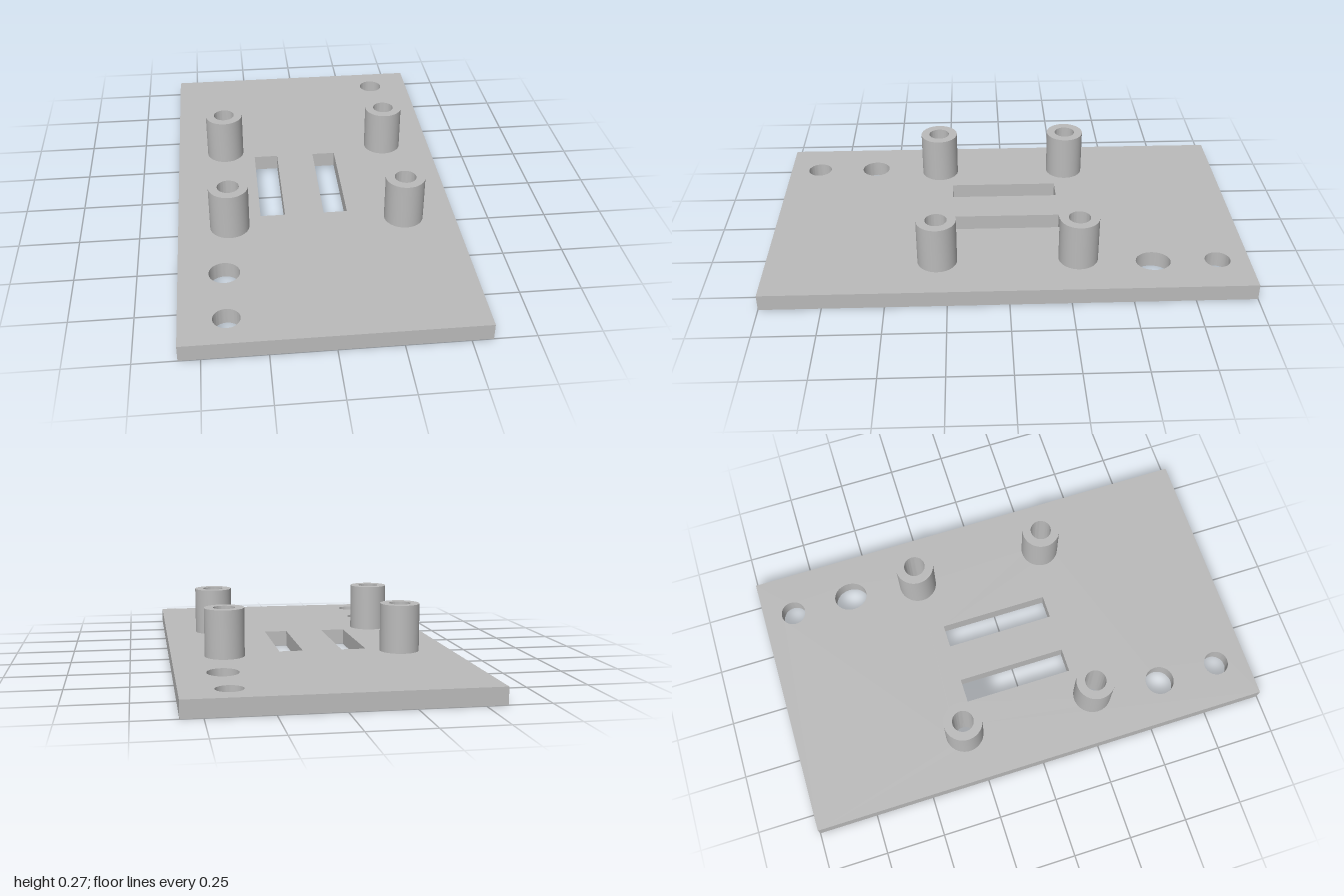
import * as THREE from 'three';
import { toCreasedNormals } from 'three/addons/utils/BufferGeometryUtils.js';

const PLATE_T = 0.068, POST_H = 0.2, POST_R = 0.082, BORE_R = 0.045;
const HALF_X = 0.583, HALF_Z = 1;

// Standoff positions as [x, z]
const posts = [[-0.368, -0.292], [0.366, -0.292], [-0.368, 0.292], [0.366, 0.292]];

// Shapes are drawn in (x, -z) so that they lie flat after the extrusion is turned up
function rect(Type, x0, x1, z0, z1) {
  return new Type([[x0, -z1], [x1, -z1], [x1, -z0], [x0, -z0]].map(([x, y]) => new THREE.Vector2(x, y)));
}

function oval(Type, x, z, rx, rz = rx) {
  const path = new Type();
  path.absellipse(x, -z, rx, rz, 0, Math.PI * 2, false, 0);
  return path;
}

function extrudeUp(shape, depth) {
  const geo = new THREE.ExtrudeGeometry(shape, { depth, bevelEnabled: false, curveSegments: 24 });
  geo.rotateX(-Math.PI / 2);
  return toCreasedNormals(geo, 0.6);
}

export function createModel() {
  const group = new THREE.Group();
  group.name = 'mountingPlate';
  const grey = new THREE.MeshStandardMaterial({ color: 0xbababa });
  grey.name = 'light grey';

  // Base plate with slots, screw holes and standoff bores
  const plate = rect(THREE.Shape, -HALF_X, HALF_X, -HALF_Z, HALF_Z);
  plate.holes.push(
    rect(THREE.Path, -0.236, -0.132, -0.238, 0.232),
    rect(THREE.Path, 0.033, 0.133, -0.238, 0.232),
    oval(THREE.Path, 0.4, -0.868, 0.053),
    oval(THREE.Path, 0.4, -0.6, 0.063, 0.072),
    oval(THREE.Path, -0.4, 0.598, 0.062),
    oval(THREE.Path, -0.4, 0.865, 0.053),
    ...posts.map(([x, z]) => oval(THREE.Path, x, z, BORE_R)),
  );
  const base = new THREE.Mesh(extrudeUp(plate, PLATE_T), grey);
  base.name = 'basePlate';
  group.add(base);

  // Four hollow standoffs
  const ring = oval(THREE.Shape, 0, 0, POST_R);
  ring.holes.push(oval(THREE.Path, 0, 0, BORE_R));
  const postGeo = extrudeUp(ring, POST_H);
  posts.forEach(([x, z], i) => {
    const post = new THREE.Mesh(postGeo, grey);
    post.name = `standoff${i + 1}`;
    post.position.set(x, PLATE_T, z);
    group.add(post);
  });

  return group;
}
